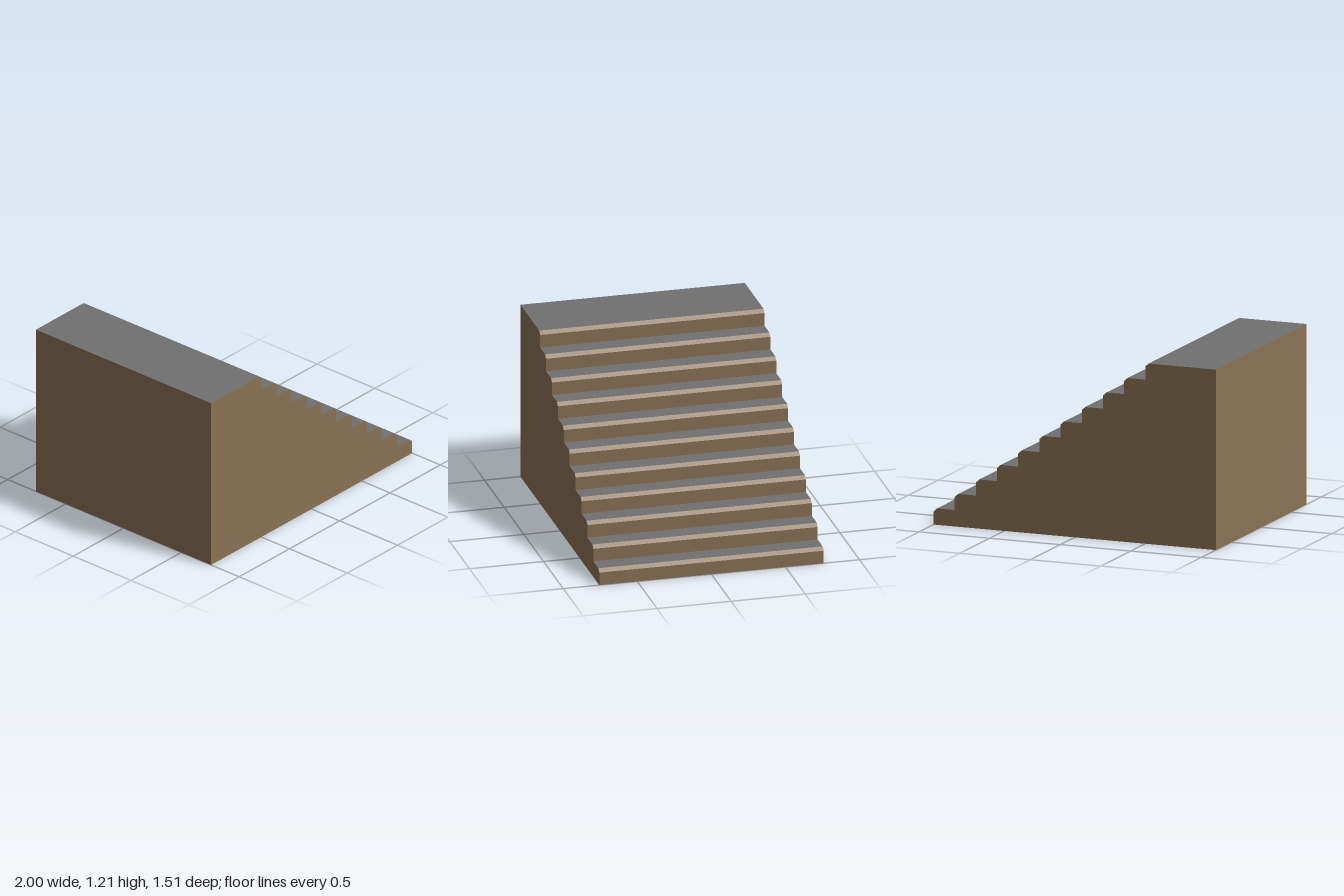
import * as THREE from 'three';

const STEPS = 11, RUN = 0.15, RISE = 1.205 / STEPS, HALF = 0.757;
const BEVEL_X = 0.024, BEVEL_Y = 0.022;

export function createModel() {
  const group = new THREE.Group();
  group.name = 'staircase';
  const wood = new THREE.MeshStandardMaterial({ color: 0x8b7355, side: THREE.DoubleSide });
  wood.name = 'brown wood';
  const tread = new THREE.MeshStandardMaterial({ color: 0x707070, side: THREE.DoubleSide });
  tread.name = 'grey tread';

  const add = (name, geometry, material) => {
    const mesh = new THREE.Mesh(geometry, material);
    mesh.name = name;
    group.add(mesh);
    return mesh;
  };

  // Flat strip across the full width between two profile points,
  // facing to the right of the direction a -> b
  const strip = (name, a, b, material) => {
    const geometry = new THREE.BufferGeometry();
    geometry.setAttribute('position', new THREE.Float32BufferAttribute([
      a.x, a.y, HALF, a.x, a.y, -HALF, b.x, b.y, -HALF, b.x, b.y, HALF,
    ], 3));
    geometry.setIndex([0, 1, 2, 0, 2, 3]);
    geometry.computeVertexNormals();
    add(name, geometry, material);
  };

  // Steps: riser, bevelled nosing and tread, with the last tread as landing
  const profile = [new THREE.Vector2(1, 0)];
  for (let i = 0; i < STEPS; i++) {
    const x = 1 - i * RUN, top = (i + 1) * RISE, last = i === STEPS - 1;
    const foot = profile[profile.length - 1];
    const lip = new THREE.Vector2(x, top - BEVEL_Y);
    const edge = new THREE.Vector2(x - BEVEL_X, top);
    const end = new THREE.Vector2(last ? -1 : x - RUN, top);
    strip(`riser${i + 1}`, foot, lip, wood);
    strip(`nosing${i + 1}`, lip, edge, wood);
    strip(last ? 'landing' : `tread${i + 1}`, edge, end, tread);
    profile.push(lip, edge, end);
  }

  // Back wall and the partial floor under the lowest three steps
  const backFoot = new THREE.Vector2(-1, 0);
  strip('backWall', profile[profile.length - 1], backFoot, wood);
  strip('floorPlate', new THREE.Vector2(1 - 3 * RUN, 0), profile[0], wood);
  profile.push(backFoot);

  // Stepped side walls; the inside stays hollow
  const side = new THREE.ShapeGeometry(new THREE.Shape(profile));
  add('frontWall', side, wood).position.z = HALF;
  const rear = new THREE.ShapeGeometry(new THREE.Shape(profile.map((p) => new THREE.Vector2(-p.x, p.y))));
  const rearWall = add('rearWall', rear, wood);
  rearWall.rotation.y = Math.PI;
  rearWall.position.z = -HALF;

  return group;
}
